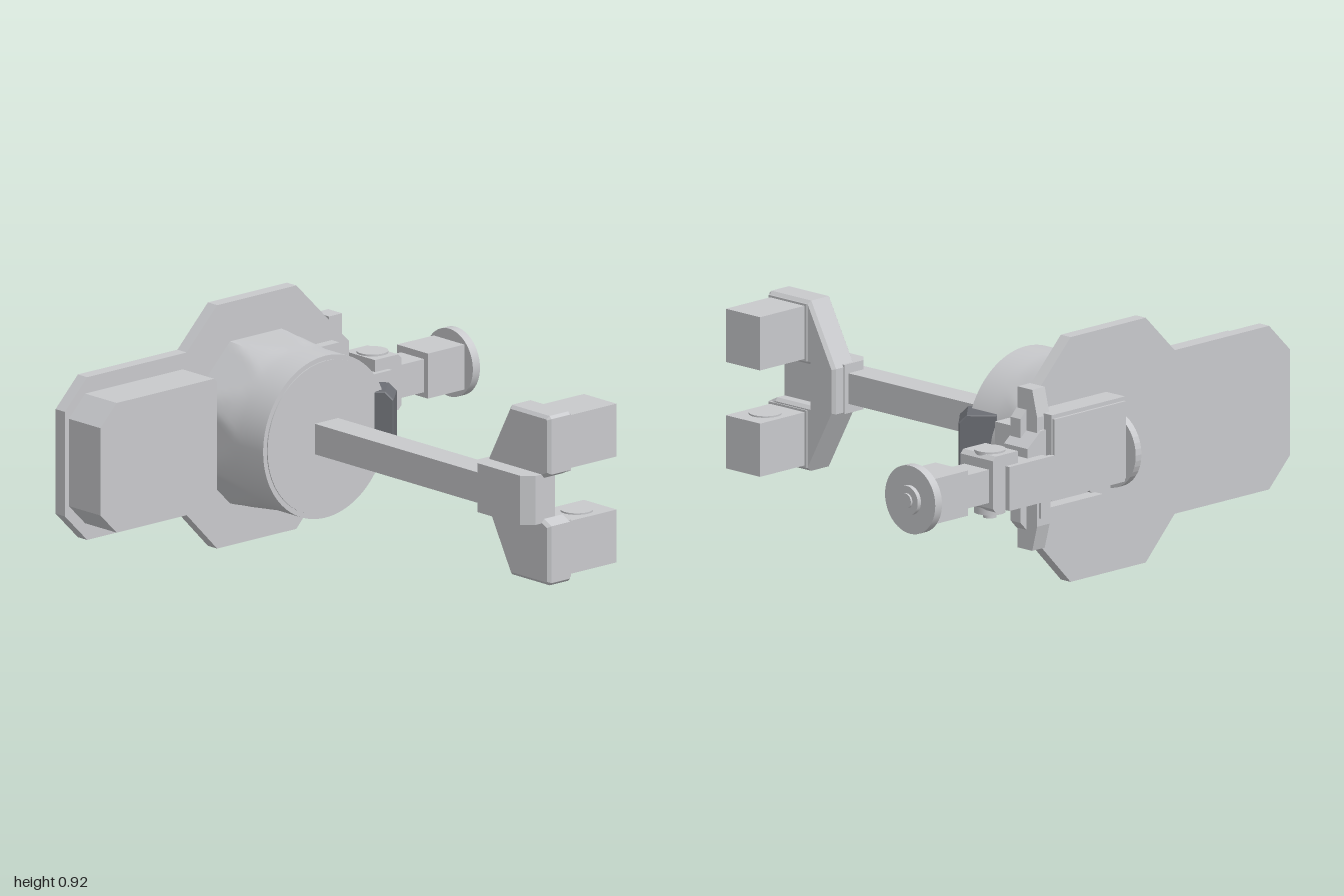
import * as THREE from 'three';
import { toCreasedNormals } from 'three/addons/utils/BufferGeometryUtils.js';

const grey = new THREE.MeshStandardMaterial({ color: 0xc8c9cc });
grey.name = 'grey';
const dark = new THREE.MeshStandardMaterial({ color: 0x6c6e74 });
dark.name = 'darkGrey';

const CX = -0.06, CY = 0.465, ARM_Z = -0.737;

export function createModel() {
  const model = new THREE.Group();
  model.name = 'model';

  const add = (name, geometry, material = grey) => {
    const mesh = new THREE.Mesh(geometry, material);
    mesh.name = name;
    model.add(mesh);
    return mesh;
  };
  // box given by its limits on each axis
  const box = (name, x0, x1, y0, y1, z0, z1) => {
    const g = new THREE.BoxGeometry(x1 - x0, y1 - y0, z1 - z0);
    g.translate((x0 + x1) / 2, (y0 + y1) / 2, (z0 + z1) / 2);
    return add(name, g);
  };
  const prism = (points, depth, bevel = 0) => {
    const shape = new THREE.Shape(points.map(([a, b]) => new THREE.Vector2(a, b)));
    return new THREE.ExtrudeGeometry(shape, {
      depth: depth - 2 * bevel, bevelEnabled: bevel > 0, bevelThickness: bevel,
      bevelSize: bevel, bevelOffset: -bevel, bevelSegments: 1,
    }).translate(0, 0, bevel);
  };
  // prisms along z (x, y outline), along x (z, y outline) and along y (x, z outline)
  const prismZ = (name, pts, z0, z1) =>
    add(name, prism(pts, z1 - z0).translate(0, 0, z0));
  const prismX = (name, pts, x0, x1, bevel, material) =>
    add(name, prism(pts.map(([z, y]) => [-z, y]), x1 - x0, bevel)
      .rotateY(Math.PI / 2).translate(x0, 0, 0), material);
  const prismY = (name, pts, y0, y1) =>
    add(name, prism(pts.map(([x, z]) => [x, -z]), y1 - y0).rotateX(-Math.PI / 2).translate(0, y0, 0));
  // cylinder along an axis, from a to b
  const cyl = (name, axis, r, a, b, x, y, z) => {
    const g = new THREE.CylinderGeometry(r, r, b - a, 48);
    if (axis === 'x') g.rotateZ(-Math.PI / 2);
    if (axis === 'z') g.rotateX(Math.PI / 2);
    const p = { x, y, z };
    p[axis] = (a + b) / 2;
    return add(name, g.translate(p.x, p.y, p.z));
  };

  // Large back plate and the box mounted on its right wing
  prismZ('backPlate', [
    [-1, 0.265], [-0.89, 0.155], [-0.4, 0.155], [-0.25, 0], [0.14, 0], [0.4, 0.27],
    [0.4, 0.66], [0.14, 0.92], [-0.25, 0.92], [-0.4, 0.77], [-0.89, 0.77], [-1, 0.66],
  ], -0.735, -0.685);
  prismZ('wingBox', [
    [-0.98, 0.3], [-0.9, 0.22], [-0.42, 0.22], [-0.405, 0.235],
    [-0.405, 0.695], [-0.42, 0.71], [-0.9, 0.71], [-0.98, 0.63],
  ], -0.685, -0.515);

  // Drum: round at the front, eight flats toward the plate
  const R = 0.306, z0 = -0.685, z1 = -0.31;
  const drum = new THREE.CylinderGeometry(R, R, z1 - z0, 96, 12).rotateX(Math.PI / 2);
  const pos = drum.attributes.position;
  const step = Math.PI / 4;
  for (let i = 0; i < pos.count; i++) {
    const x = pos.getX(i), y = pos.getY(i), r = Math.hypot(x, y);
    if (r < 0.01) continue;
    const a = Math.atan2(y, x);
    const off = a - Math.round(a / step) * step;
    const t = Math.max(0, (0.04 - pos.getZ(i)) / 0.22);
    const k = Math.min(1 / Math.cos(off), 1 + 0.085 * t);
    pos.setXY(i, x * k, y * k);
  }
  add('drum', toCreasedNormals(drum.translate(CX, CY, (z0 + z1) / 2), 0.35));
  cyl('drumFace', 'z', 0.288, z1, z1 + 0.004, CX, CY, 0);
  cyl('backDisc', 'z', 0.18, -0.752, -0.735, CX, CY, 0);

  // Dark angled block on the drum's flank, chamfered above and below
  const block = prismX('angledBlock', [
    [-0.14, -0.125], [-0.03, -0.125], [0, -0.095], [0, 0.095], [-0.03, 0.125], [-0.14, 0.125],
  ], -0.067, 0.067, 0.004, dark);
  block.position.set(0.275, CY, -0.3);
  block.rotation.y = 0.735;

  // Boom reaching forward
  box('boom', -0.115, 0, 0.41, 0.525, -0.32, 0.6);

  // Clamp head: forked plate, hub block and a pair of jaws
  prismX('forkPlate', [
    [0.88, 0.155], [0.88, 0.37], [0.84, 0.39], [0.67, 0.39], [0.67, 0.545], [0.84, 0.545],
    [0.88, 0.565], [0.88, 0.775], [0.87, 0.785], [0.667, 0.785], [0.54, 0.55],
    [0.54, 0.38], [0.667, 0.145], [0.87, 0.145],
  ], -0.045, 0.07, 0.012);
  prismY('hubBlock', [
    [-0.115, 0.57], [-0.08, 0.535], [0.02, 0.535], [0.02, 0.84], [-0.075, 0.84], [-0.115, 0.8],
  ], 0.375, 0.56);
  for (const s of [-1, 1]) {
    const y = CY + s * 0.2;
    box('jaw', 0.06, 0.305, y - 0.1, y + 0.1, 0.685, 0.86);
    box('jawFrame', 0.06, 0.075, y - 0.108, y + 0.108, 0.675, 0.868);
    const face = y - s * 0.1;
    cyl('jawButton', 'y', 0.06, face - 0.006, face + 0.006, 0.19, 0, 0.772);
  }

  // Side mount: post, lugs and front block
  prismX('mountPost', [
    [-0.69, 0.165], [-0.765, 0.165], [-0.79, 0.26], [-0.79, 0.67], [-0.765, 0.77], [-0.69, 0.77],
  ], 0.305, 0.37);
  box('upperLug', 0.18, 0.315, 0.6, 0.68, -0.69, -0.645);
  box('lowerBracket', 0.31, 0.36, 0.29, 0.38, -0.8, -0.68);
  box('lowerRail', 0.03, 0.36, 0.29, 0.32, -0.79, -0.735);
  box('frontBlock', 0.25, 0.325, 0.35, 0.6, -0.61, -0.53);
  box('frontBlockBase', 0.18, 0.31, 0.38, 0.57, -0.685, -0.6);

  // Rear housing with its curved end
  box('rearHousing', -0.045, 0.335, 0.36, 0.68, -0.83, -0.735);
  box('rearCover', -0.04, 0.33, 0.375, 0.665, -0.84, -0.82);
  const arc = [];
  for (let i = 0; i <= 20; i++) {
    const a = Math.PI * i / 20;
    arc.push([-0.735 - 0.145 * Math.sin(a), CY + 0.145 * Math.cos(a)]);
  }
  prismX('endFlange', arc, -0.08, -0.05);
  cyl('endRoll', 'y', 0.085, 0.4, 0.53, -0.055, 0, -0.735);

  // Arm: web, side cheeks, pivot block and pin
  prismZ('armWeb', [
    [0.3, 0.365], [0.6, 0.365], [0.6, 0.53], [0.43, 0.53], [0.43, 0.565], [0.36, 0.62], [0.3, 0.62],
  ], -0.8, -0.68);
  prismZ('pivotBlock', [
    [0.355, 0.365], [0.615, 0.365], [0.63, 0.38], [0.63, 0.56], [0.615, 0.575], [0.5, 0.575],
    [0.5, 0.53], [0.355, 0.53],
  ], -0.82, -0.655);
  for (const z of [-0.84, -0.655])
    box('armCheek', 0.33, 0.565, 0.365, 0.53, z, z + 0.02);
  cyl('pivotPin', 'y', 0.058, 0.345, 0.582, 0.565, 0, -0.74);
  cyl('pivotBolt', 'y', 0.025, 0.325, 0.35, 0.565, 0, -0.74);

  // Arm end: neck, square grip, disc and nub
  box('neck', 0.62, 0.77, 0.4, 0.525, -0.8, -0.675);
  box('grip', 0.76, 0.945, 0.38, 0.55, -0.82, -0.655);
  cyl('endDisc', 'x', 0.128, 0.94, 0.975, 0, CY, ARM_Z);
  cyl('endRing', 'x', 0.055, 0.97, 0.992, 0, CY, ARM_Z);
  cyl('endNub', 'x', 0.028, 0.97, 1, 0, CY, ARM_Z);

  return model;
}
